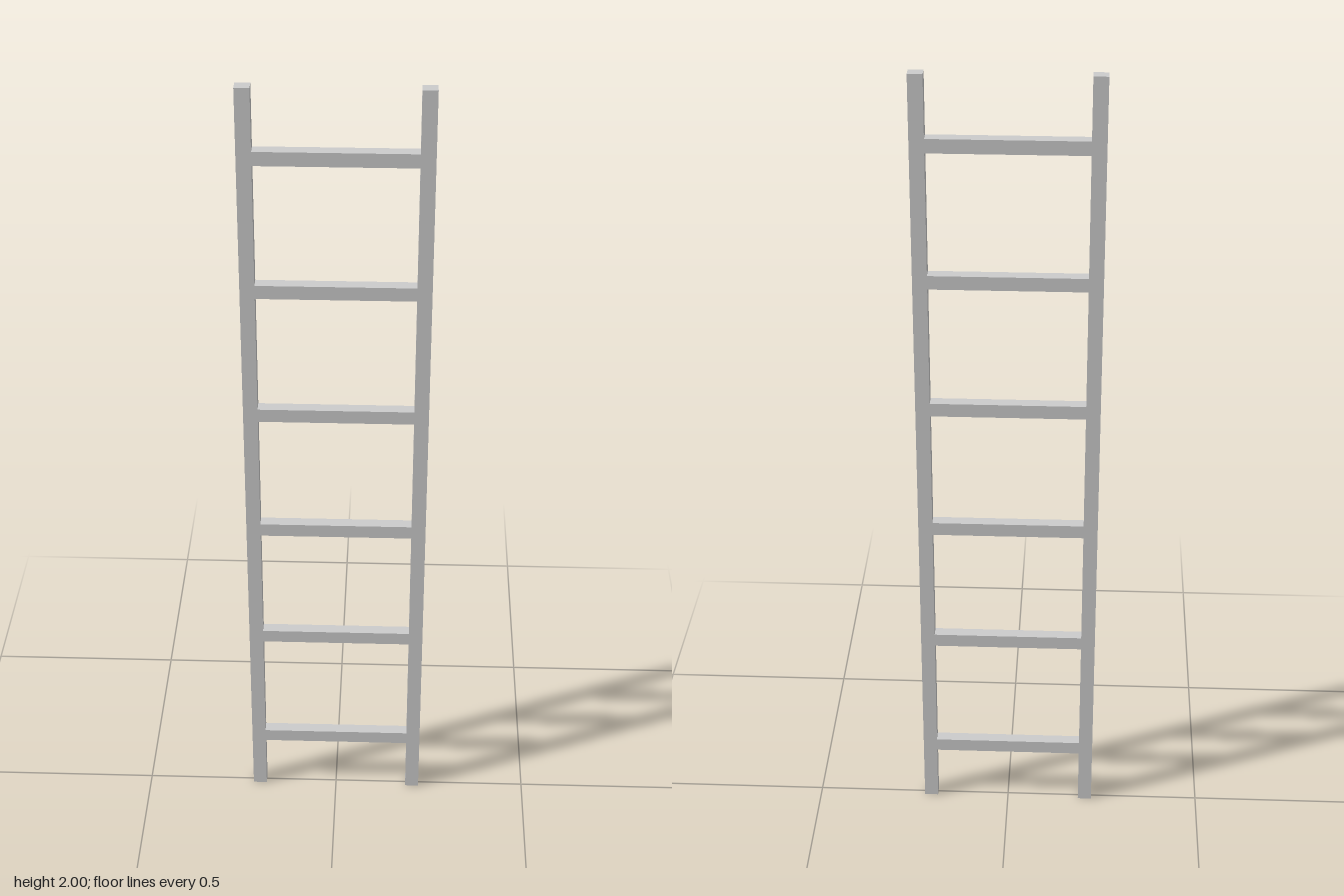
import * as THREE from 'three';

export function createModel() {
  const ladder = new THREE.Group();
  ladder.name = 'ladder';
  const material = new THREE.MeshStandardMaterial({ color: 0xcccccc });

  const height = 2, halfWidth = 0.222, railWidth = 0.035, depth = 0.03;
  const rungCount = 6, rungHeight = 0.034;
  const innerWidth = 2 * (halfWidth - railWidth);

  function addBar(name, w, h, x, y) {
    const bar = new THREE.Mesh(new THREE.BoxGeometry(w, h, depth), material);
    bar.name = name;
    bar.position.set(x, y, 0);
    ladder.add(bar);
  }

  // Upright side rails
  const railX = halfWidth - railWidth / 2;
  addBar('leftRail', railWidth, height, railX, height / 2);
  addBar('rightRail', railWidth, height, -railX, height / 2);

  // Evenly spaced rungs, flush with the rails
  const spacing = height / rungCount;
  for (let i = 0; i < rungCount; i++) {
    addBar(`rung${i + 1}`, innerWidth, rungHeight, 0, (i + 0.5) * spacing);
  }

  return ladder;
}
